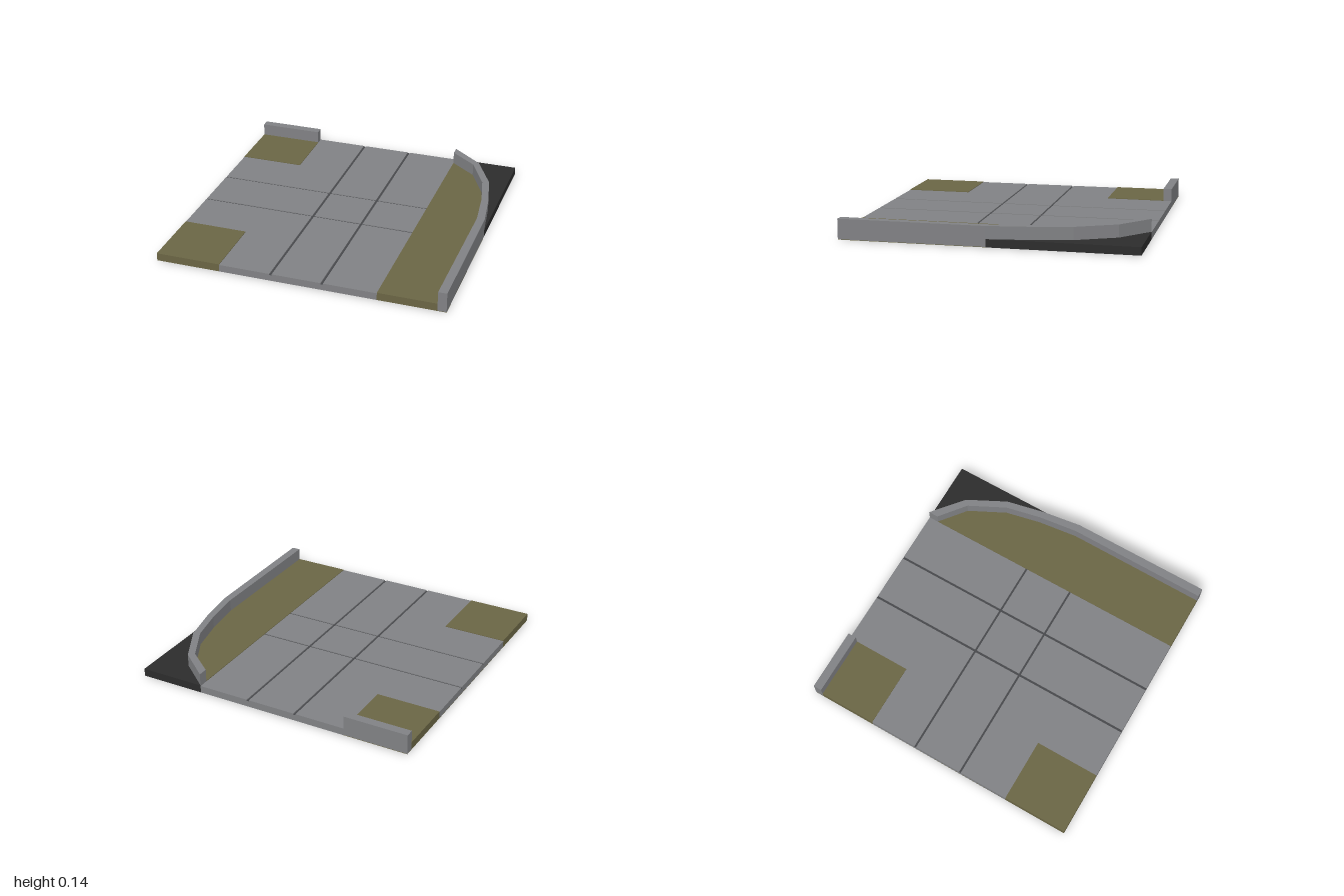
import * as THREE from 'three';

const paint = (name, color) => Object.assign(new THREE.MeshStandardMaterial({ color }), { name });

export function createModel() {
  const model = new THREE.Group();
  model.name = 'roadTile';
  const concrete = paint('concrete', 0x808184);
  const verge = paint('olive verge', 0x6a6544);
  const black = paint('black ground', 0x2c2c2c);
  const joint = paint('joint shadow', 0x47484b);

  const add = (name, geometry, material) => {
    const mesh = new THREE.Mesh(geometry, material);
    mesh.name = name;
    model.add(mesh);
  };

  // Box given by its limits
  const block = (name, [x0, x1], [y0, y1], [z0, z1], material) => {
    const g = new THREE.BoxGeometry(x1 - x0, y1 - y0, z1 - z0);
    g.translate((x0 + x1) / 2, (y0 + y1) / 2, (z0 + z1) / 2);
    add(name, g, material);
  };

  // Upright prism over a plan outline of [x, z] points
  const prism = (name, plan, y0, y1, material) => {
    const shape = new THREE.Shape(plan.map(([x, z]) => new THREE.Vector2(x, -z)));
    const g = new THREE.ExtrudeGeometry(shape, { depth: y1 - y0, bevelEnabled: false });
    g.rotateX(-Math.PI / 2).translate(0, y0, 0);
    add(name, g, material);
  };

  const L = -0.55, R = 0.54;
  const FLOOR = 0.042, ROAD = 0.05, GRASS = 0.054, TOP = 0.14, SKIN = 0.003;

  // Slab under the paving
  block('roadBase', [L, R], [0, FLOOR], [-1, 1], concrete);
  block('sideRoadBase', [-1, L], [SKIN, FLOOR], [-0.53, 0.54], concrete);
  block('rightUnderside', [-1, L], [0, SKIN], [-1, 1], verge);

  // Paving slabs separated by narrow joints
  const columns = [[L, -0.195], [-0.178, 0.16], [0.177, R]];
  const rows = [[-1, -0.187], [-0.173, 0.173], [0.187, 1]];
  for (const row of rows) {
    for (const column of columns) block('pavingSlab', column, [FLOOR, ROAD], row, concrete);
    const clipped = [Math.max(row[0], -0.53), Math.min(row[1], 0.54)];
    block('sidePavingSlab', [-1, L], [FLOOR, ROAD], clipped, concrete);
  }

  // Dark joints between the slabs
  for (const x of [-0.1865, 0.1685])
    block('lengthJoint', [x - 0.0085, x + 0.0085], [FLOOR, FLOOR + 0.002], [-1, 1], joint);
  for (const z of [-0.18, 0.18])
    block('crossJoint', [-1, R], [FLOOR, FLOOR + 0.0025], [z - 0.007, z + 0.007], joint);

  // Corner verges on the right side
  block('frontCornerVerge', [-1, L], [SKIN, GRASS], [0.54, 1], verge);
  block('backCornerVerge', [-1, L], [SKIN, GRASS], [-0.94, -0.53], verge);
  block('backWall', [-1, L], [SKIN, TOP], [-1, -0.94], concrete);

  // Curved verge and wall on the left side
  const outer = [[R, -1], [0.76, -0.82], [0.9, -0.55], [0.96, -0.28], [1, 0], [1, 1]];
  const inner = [[R, -0.93], [0.725, -0.785], [0.855, -0.53], [0.91, -0.28], [0.945, 0], [0.94, 1]];
  prism('curvedUnderside', [...outer, [R, 1]], 0, SKIN, verge);
  prism('curvedVerge', [...inner, [R, 1]], SKIN, GRASS, verge);
  prism('curvedWall', [...outer, ...[...inner].reverse()], SKIN, TOP, concrete);

  // Ground outside the curve
  prism('outerCorner', [...outer.slice(0, 5), [1, -1]], 0, GRASS, black);

  return model;
}
